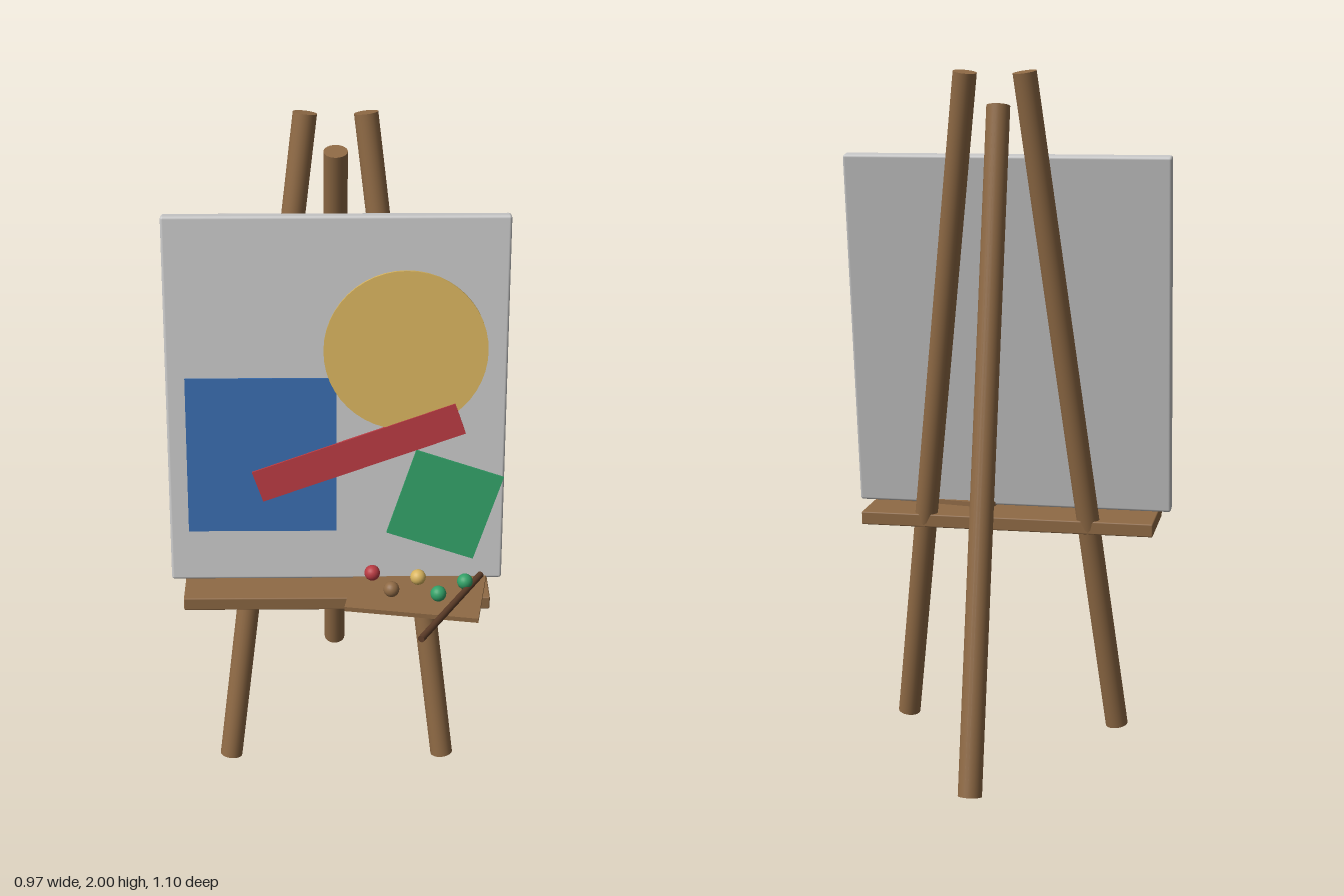
import * as THREE from 'three';
import { RoundedBoxGeometry } from 'three/addons/geometries/RoundedBoxGeometry.js';

const mat = (name, color) => {
  const m = new THREE.MeshStandardMaterial({ color });
  m.name = name;
  return m;
};

export function createModel() {
  const wood = mat('wood', 0x8f6a45);
  const darkWood = mat('darkWood', 0x5c3c28);
  const canvasGrey = mat('canvasGrey', 0xc8c8c8);
  const blue = mat('blue', 0x386bad);
  const yellow = mat('yellow', 0xd8b45e);
  const red = mat('red', 0xb83a42);
  const green = mat('green', 0x32a067);

  const model = new THREE.Group();
  model.name = 'easel';

  const add = (parent, name, geometry, material, x, y, z) => {
    const mesh = new THREE.Mesh(geometry, material);
    mesh.name = name;
    mesh.position.set(x, y, z);
    parent.add(mesh);
    return mesh;
  };

  // Round rod between two points
  const rod = (name, from, to, radius, material) => {
    const a = new THREE.Vector3(...from);
    const b = new THREE.Vector3(...to);
    const dir = b.clone().sub(a);
    const mid = a.clone().add(b).multiplyScalar(0.5);
    const mesh = add(model, name, new THREE.CylinderGeometry(radius, radius, dir.length(), 24), material, mid.x, mid.y, mid.z);
    mesh.quaternion.setFromUnitVectors(new THREE.Vector3(0, 1, 0), dir.normalize());
  };

  // Tripod legs
  for (const [name, s] of [['leftFrontLeg', 1], ['rightFrontLeg', -1]]) {
    rod(name, [s * 0.33, 0.006, 0.142], [s * 0.085, 1.994, -0.14], 0.034, wood);
  }
  rod('rearLeg', [0, 0.007, -0.515], [0, 1.9, -0.085], 0.034, wood);

  // Tray
  add(model, 'tray', new RoundedBoxGeometry(0.89, 0.04, 0.275, 2, 0.004), wood, 0, 0.656, 0.155);

  // Leaning canvas with painted shapes
  const painting = new THREE.Group();
  painting.name = 'painting';
  painting.position.set(0, 1.22, 0.104);
  painting.rotation.x = -0.14;
  model.add(painting);
  const front = 0.0215;
  add(painting, 'canvas', new RoundedBoxGeometry(0.97, 1.085, front * 2, 3, 0.008), canvasGrey, 0, 0, 0);
  add(painting, 'blueRectangle', new THREE.BoxGeometry(0.43, 0.465, 0.006), blue, -0.215, -0.155, front + 0.003);
  const disc = add(painting, 'yellowCircle', new THREE.CylinderGeometry(0.2325, 0.2325, 0.009, 48), yellow, 0.196, 0.157, front + 0.0045);
  disc.rotation.x = Math.PI / 2;
  const bar = add(painting, 'redBar', new THREE.BoxGeometry(0.617, 0.095, 0.009), red, 0.063, -0.145, front + 0.009);
  bar.rotation.z = 0.34;
  const square = add(painting, 'greenSquare', new THREE.BoxGeometry(0.267, 0.267, 0.009), green, 0.314, -0.308, front + 0.0055);
  square.rotation.z = -0.32;

  // Palette with dabs of paint
  const palette = add(model, 'palette', new THREE.BoxGeometry(0.385, 0.014, 0.245), wood, 0.231, 0.685, 0.277);
  palette.rotation.y = -0.17;
  const dabs = [
    ['redDab', red, 0.104, 0.22],
    ['brownDab', wood, 0.157, 0.31],
    ['yellowDab', yellow, 0.237, 0.245],
    ['greenDab', green, 0.291, 0.335],
    ['greenDab', green, 0.372, 0.27],
  ];
  for (const [name, material, x, z] of dabs) {
    add(model, name, new THREE.SphereGeometry(0.023, 20, 14), material, x, 0.717, z);
  }

  // Paintbrush lying across the palette
  rod('brush', [0.231, 0.701, 0.545], [0.423, 0.701, 0.207], 0.01, darkWood);

  return model;
}
